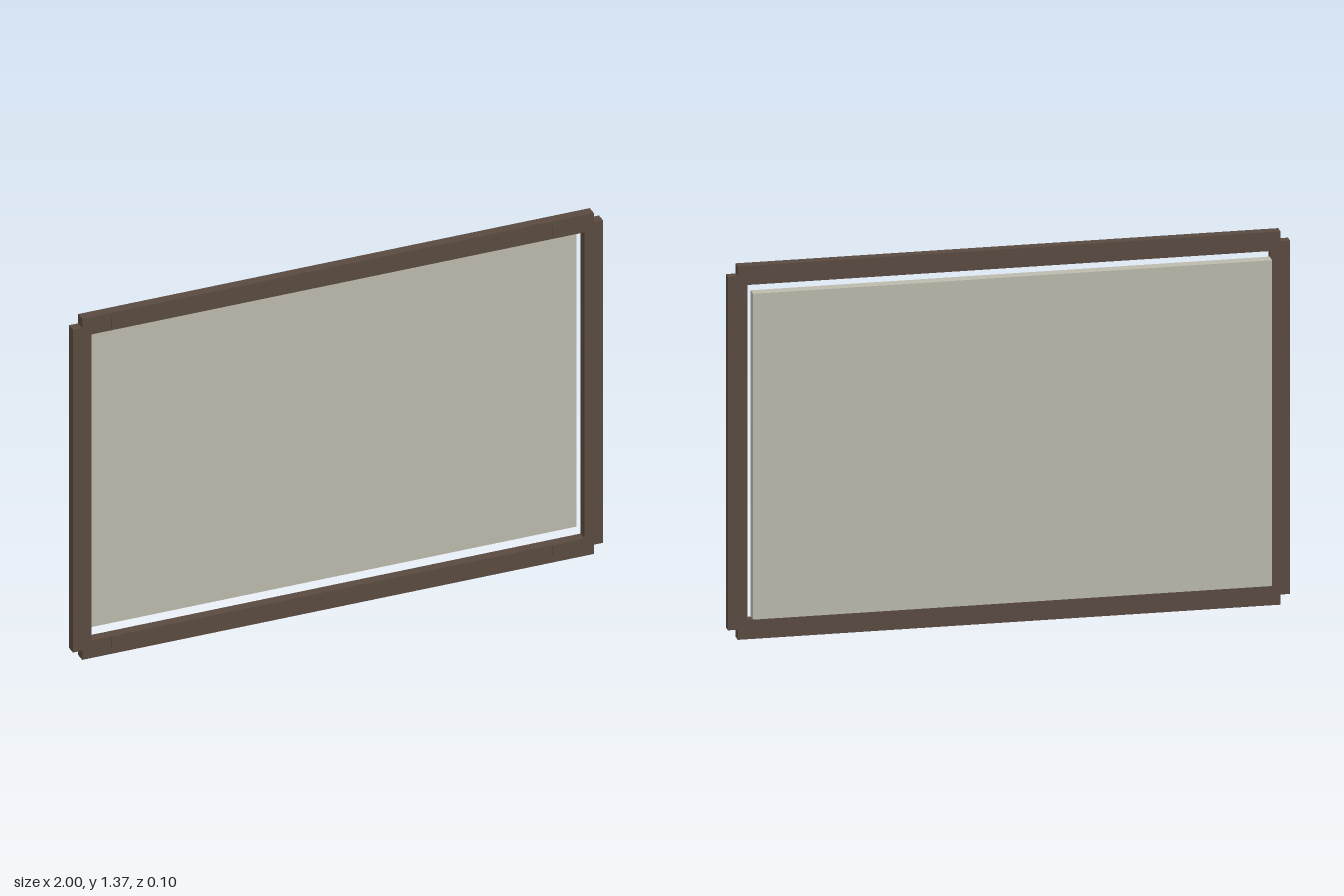
import * as THREE from 'three';

const frameBrown = new THREE.MeshStandardMaterial({ color: 0x5a4a40 });
frameBrown.name = 'frameBrown';
const panelGrey = new THREE.MeshStandardMaterial({ color: 0xbcbaad });
panelGrey.name = 'panelGrey';

// Box from its minimum and maximum corners
function box(name, material, [x0, y0, z0], [x1, y1, z1]) {
  const mesh = new THREE.Mesh(new THREE.BoxGeometry(x1 - x0, y1 - y0, z1 - z0), material);
  mesh.position.set((x0 + x1) / 2, (y0 + y1) / 2, (z0 + z1) / 2);
  mesh.name = name;
  return mesh;
}

export function createModel() {
  const model = new THREE.Group();
  model.name = 'framedPanel';

  const height = 1.365, bar = 0.07, back = 0.011, front = 0.048;

  // Frame: two rails and two stiles, stepped at the corners
  const frame = new THREE.Group();
  frame.name = 'frame';
  frame.add(
    box('bottomRail', frameBrown, [-0.965, 0, back], [0.965, bar, front]),
    box('topRail', frameBrown, [-0.965, height - bar, back], [0.965, height, front]),
    box('leftStile', frameBrown, [1 - bar, 0.037, back], [1, height - 0.037, front]),
    box('rightStile', frameBrown, [-1, 0.037, back], [bar - 1, height - 0.037, front]),
  );

  // Small raised plates near the ends of the rails
  for (const x of [-0.832, 0.832]) {
    for (const y of [0.047, height - 0.04]) {
      frame.add(box('railPlate', frameBrown,
        [x - 0.022, y - 0.022, front - 0.005], [x + 0.022, y + 0.022, front + 0.002]));
    }
  }

  // Panel standing just behind the frame
  const panel = box('panel', panelGrey, [-0.923, 0.09, -0.049], [0.923, 1.281, -0.007]);

  model.add(frame, panel);
  return model;
}
